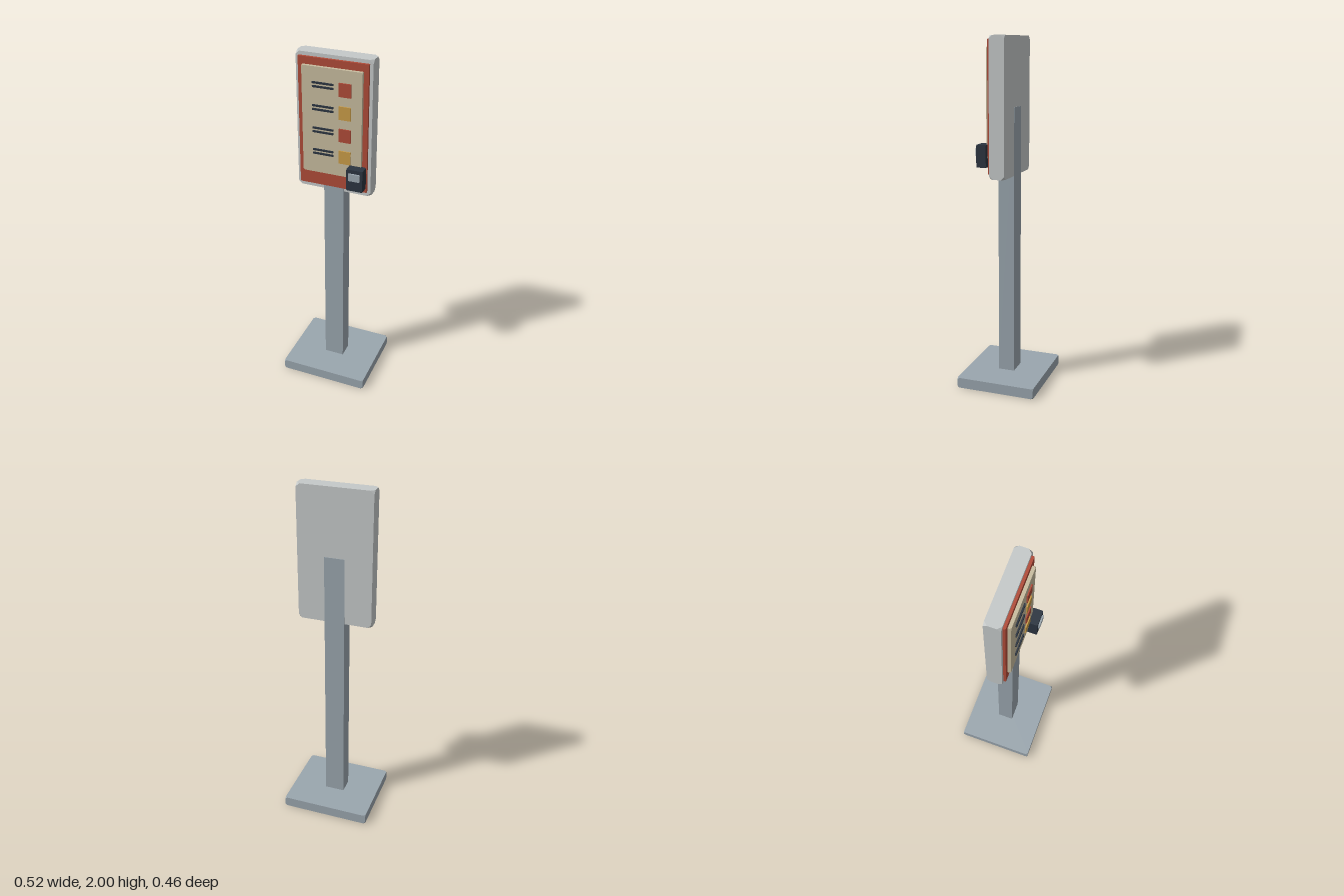
import * as THREE from 'three';
import { ConvexGeometry } from 'three/addons/geometries/ConvexGeometry.js';

function material(name, color) {
  const m = new THREE.MeshStandardMaterial({ color });
  m.name = name;
  return m;
}

// Box between two corners, with its eight corner points cut off by c
function cutBox([x0, y0, z0], [x1, y1, z1], c) {
  const half = [(x1 - x0) / 2, (y1 - y0) / 2, (z1 - z0) / 2];
  const points = [];
  for (const sx of [-1, 1]) for (const sy of [-1, 1]) for (const sz of [-1, 1]) {
    for (let axis = 0; axis < 3; axis++) {
      const p = half.map((h, i) => (i === axis ? h - c : h));
      points.push(new THREE.Vector3(sx * p[0], sy * p[1], sz * p[2]));
    }
  }
  const geometry = new ConvexGeometry(points);
  geometry.translate((x0 + x1) / 2, (y0 + y1) / 2, (z0 + z1) / 2);
  return geometry;
}

export function createModel() {
  const group = new THREE.Group();
  group.name = 'orderKiosk';

  const steel = material('steel grey', 0x9aa6ae);
  const casing = material('light grey', 0xc5c9c9);
  const red = material('brick red', 0xb04b38);
  const cream = material('cream', 0xc8bc9f);
  const gold = material('gold', 0xc99c48);
  const navy = material('dark navy', 0x2b3440);

  function add(name, mat, min, max, cut = 0) {
    const size = max.map((v, i) => v - min[i]);
    const geometry = cut > 0 ? cutBox(min, max, cut)
      : new THREE.BoxGeometry(...size).translate(...max.map((v, i) => (v + min[i]) / 2));
    const mesh = new THREE.Mesh(geometry, mat);
    mesh.name = name;
    group.add(mesh);
  }

  // Stand
  add('base', steel, [-0.26, 0, -0.231], [0.26, 0.06, 0.231], 0.012);
  add('post', steel, [-0.058, 0.05, -0.047], [0.058, 1.614, 0.047]);

  // Display head
  add('casing', casing, [-0.213, 1.232, -0.0445], [0.213, 2, 0.0425], 0.02);
  add('bezel', red, [-0.195, 1.258, 0.035], [0.195, 1.98, 0.057], 0.004);
  add('screen', cream, [-0.168, 1.342, 0.05], [0.168, 1.94, 0.075], 0.008);

  // Menu rows: two dark lines and a coloured tile each
  for (let i = 0; i < 4; i++) {
    const y = 1.835 - i * 0.126;
    for (const dy of [0.021, 0]) {
      add('menuLine', navy, [-0.107, y + dy - 0.005, 0.074], [0.01, y + dy + 0.005, 0.082]);
    }
    add('menuTile', i % 2 ? gold : red, [0.042, y - 0.037, 0.074], [0.109, y + 0.037, 0.082]);
  }

  // Card reader
  add('cardReader', navy, [0.103, 1.292, 0.069], [0.195, 1.417, 0.125], 0.006);
  add('cardReaderScreen', steel, [0.117, 1.354, 0.1245], [0.181, 1.396, 0.134]);

  return group;
}
